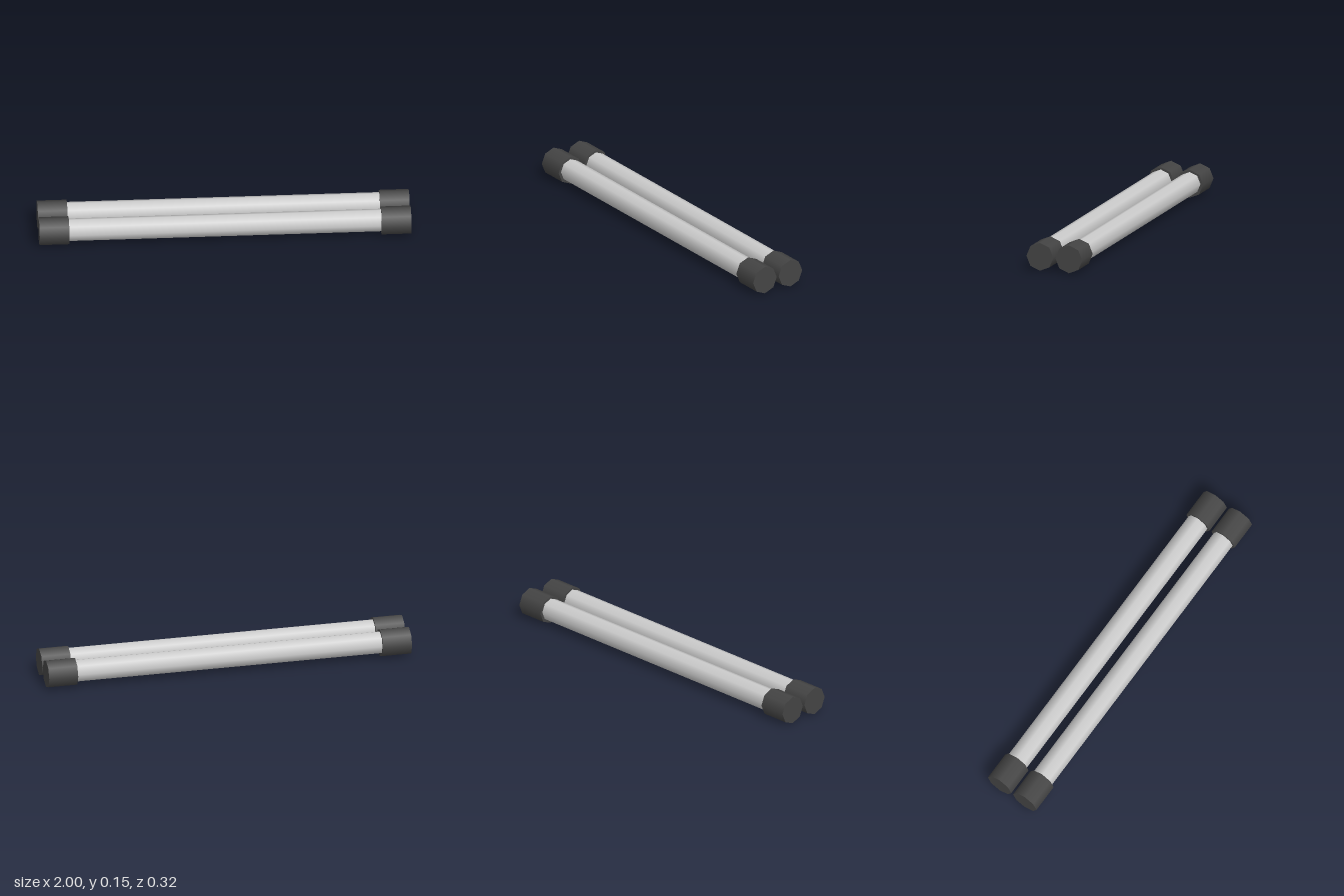
import * as THREE from 'three';

export function createModel() {
  const model = new THREE.Group();
  const tubeMaterial = new THREE.MeshStandardMaterial({ color: 0xcccccc });
  const capMaterial = new THREE.MeshStandardMaterial({ color: 0x444444 });

  const capRadius = 0.077, capLength = 0.16, tubeRadius = 0.062;

  // Eight-sided smooth cylinders lying along x
  const tubeGeometry = new THREE.CylinderGeometry(tubeRadius, tubeRadius, 1.7, 8).rotateZ(Math.PI / 2);
  const capGeometry = new THREE.CylinderGeometry(capRadius, capRadius, capLength, 8).rotateZ(Math.PI / 2);

  // Two parallel lamps, front and back
  for (const side of [1, -1]) {
    const lamp = new THREE.Group();
    lamp.name = side > 0 ? 'frontLamp' : 'backLamp';
    lamp.position.set(0, capRadius, side * 0.083);

    const tube = new THREE.Mesh(tubeGeometry, tubeMaterial);
    tube.name = 'tube';
    tube.position.y = 0.003;
    lamp.add(tube);

    // End caps
    for (const end of [1, -1]) {
      const cap = new THREE.Mesh(capGeometry, capMaterial);
      cap.name = end > 0 ? 'leftCap' : 'rightCap';
      cap.position.x = end * (1 - capLength / 2);
      lamp.add(cap);
    }
    model.add(lamp);
  }
  return model;
}
